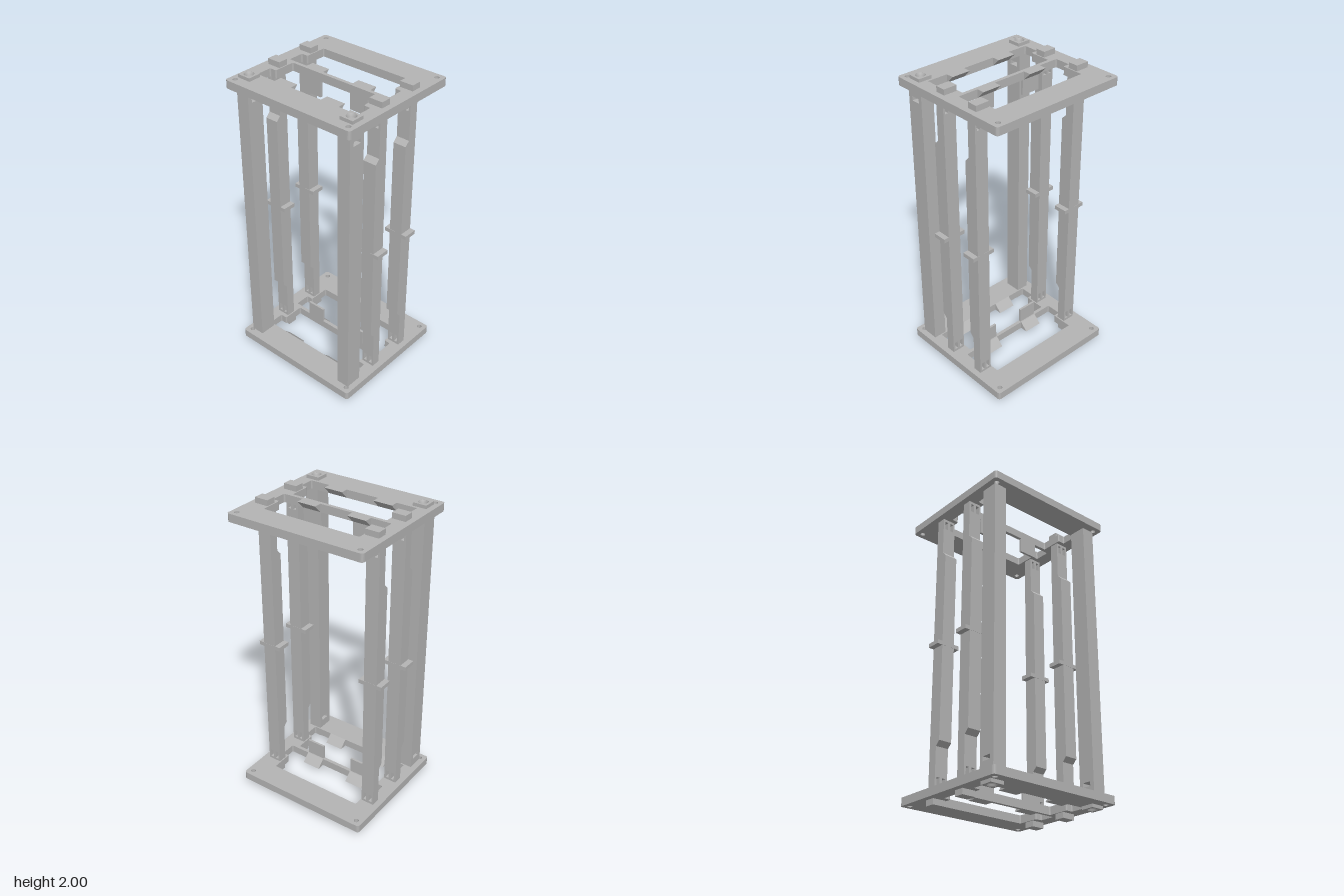
import * as THREE from 'three';

const grey = new THREE.MeshStandardMaterial({ color: 0xb4b4b4 });
grey.name = 'grey plastic';
const greyInside = grey.clone();
greyInside.side = THREE.DoubleSide;

const PLATE_IN = 1.912, PLATE_OUT = 1.964;

function add(parent, name, geometry, material = grey) {
  const mesh = new THREE.Mesh(geometry, material);
  mesh.name = name;
  parent.add(mesh);
  return mesh;
}

// Box given by its limits on each axis
function box(x0, x1, y0, y1, z0, z1) {
  return new THREE.BoxGeometry(x1 - x0, y1 - y0, z1 - z0)
    .translate((x0 + x1) / 2, (y0 + y1) / 2, (z0 + z1) / 2);
}

// Closed outline with rounded corners
function rounded(points, r, path) {
  const n = points.length;
  const p = points.map(([x, y]) => new THREE.Vector2(x, y));
  for (let i = 0; i < n; i++) {
    const c = p[i];
    const a = p[(i + n - 1) % n].clone().sub(c).setLength(r).add(c);
    const b = p[(i + 1) % n].clone().sub(c).setLength(r).add(c);
    if (i === 0) path.moveTo(a.x, a.y);
    else path.lineTo(a.x, a.y);
    path.quadraticCurveTo(c.x, c.y, b.x, b.y);
  }
  path.closePath();
  return path;
}

function rectangle(x0, x1, z0, z1) {
  return new THREE.Shape([[x0, z0], [x1, z0], [x1, z1], [x0, z1]].map(p => new THREE.Vector2(...p)));
}

function circle(x, z, r) {
  return new THREE.Path().absarc(x, z, r, 0, Math.PI * 2, true);
}

// Shape in (x, z) raised between two heights
function extrudeY(shape, y0, y1) {
  return new THREE.ExtrudeGeometry(shape, { depth: y1 - y0, bevelEnabled: false, curveSegments: 8 })
    .rotateX(Math.PI / 2).translate(0, y1, 0);
}

// Outline in (z, y) stretched between two x positions
function extrudeX(points, x0, x1) {
  const shape = new THREE.Shape(points.map(p => new THREE.Vector2(...p)));
  return new THREE.ExtrudeGeometry(shape, { depth: x1 - x0, bevelEnabled: false })
    .rotateY(-Math.PI / 2).translate(x1, 0, 0);
}

function endPlate(parent) {
  const X = 0.464, Z = 0.427;
  const shape = rounded([[-X, -Z], [X, -Z], [X, Z], [-X, Z]], 0.02, new THREE.Shape());
  // two stepped openings, separated by a thin crossbar
  for (const [z0, z1, z2] of [[-0.26, -0.117, -0.013], [0.01, 0.152, 0.255]]) {
    shape.holes.push(rounded([
      [-0.33, z0], [0.33, z0], [0.33, z1], [0.376, z1],
      [0.376, z2], [-0.376, z2], [-0.376, z1], [-0.33, z1],
    ], 0.01, new THREE.Path()));
  }
  for (const x of [-0.422, 0.422])
    for (const z of [-0.386, 0.386]) shape.holes.push(circle(x, z, 0.016));
  add(parent, 'endPlate', extrudeY(shape, PLATE_IN, PLATE_OUT));

  // sloped lips on the openings and upright stops on the crossbar
  for (const x0 of [-0.24, 0.112]) {
    const x1 = x0 + 0.128;
    for (const z of [-0.013, 0.255]) {
      add(parent, 'slopedLip', extrudeX(
        [[z, PLATE_IN], [z, PLATE_OUT], [z - 0.052, PLATE_OUT]], x0, x1));
    }
    add(parent, 'crossbarStop', box(x0, x1, 1.81, PLATE_IN, -0.005, 0.01));
  }
}

function frontPost(parent, cx) {
  const post = new THREE.Group();
  post.name = 'frontPost';
  post.position.x = cx;
  parent.add(post);
  const w = 0.044, z0 = 0.263, z1 = 0.376, zc = 0.315;
  const slot0 = 1.828, slot1 = 1.856, top = 1.985;
  add(post, 'postShaft', box(-w, w, 1, slot0, z0, z1));
  // nut slot open on one side
  const u = new THREE.Shape([
    [-w, z0], [w, z0], [w, 0.287], [-0.03, 0.287],
    [-0.03, 0.347], [w, 0.347], [w, z1], [-w, z1],
  ].map(p => new THREE.Vector2(...p)));
  add(post, 'nutSlot', extrudeY(u, slot0, slot1));
  // post head and peg with a countersunk screw hole
  const head = rectangle(-w, w, z0, z1);
  head.holes.push(circle(0, zc, 0.016));
  add(post, 'postHead', extrudeY(head, slot1, PLATE_IN));
  const peg = rectangle(-0.045, 0.045, 0.272, 0.358);
  peg.holes.push(circle(0, zc, 0.031));
  add(post, 'postPeg', extrudeY(peg, PLATE_IN, top));
  const bore = [[0.016, slot1], [0.016, top - 0.035], [0.031, top]].map(p => new THREE.Vector2(...p));
  add(post, 'screwHole', new THREE.LatheGeometry(bore, 32).translate(0, 0, zc), greyInside);
}

function rail(parent, cx, zBack) {
  const post = new THREE.Group();
  post.name = 'guideRail';
  post.position.set(cx, 0, zBack);
  parent.add(post);
  const w = 0.044, wide = 0.089, narrow = 0.06, s0 = 1.84, s1 = 1.895;
  add(post, 'railShaft', extrudeX(
    [[0, 1], [wide, 1], [wide, 1.625], [narrow, 1.655], [narrow, s0], [0, s0]], -w, w));
  // clip slots near the end
  for (const [a, b] of [[-w, -0.031], [-0.009, 0.009], [0.031, w]])
    add(post, 'clipLeg', box(a, b, s0, s1, 0, narrow));
  add(post, 'railHead', box(-w, w, s1, PLATE_IN, 0, narrow));
  add(post, 'railHook', box(-0.045, 0.045, PLATE_IN, 2, -0.015, 0.051));
}

export function createModel() {
  const model = new THREE.Group();
  model.name = 'rackFrame';

  // upper half, repeated upside down for the lower half
  const upper = new THREE.Group();
  upper.name = 'upperHalf';
  endPlate(upper);
  for (const x of [-0.382, 0.382]) {
    frontPost(upper, x);
    for (const z of [0.065, -0.204]) rail(upper, x, z);
  }
  const lower = upper.clone();
  lower.name = 'lowerHalf';
  lower.rotation.z = Math.PI;
  lower.position.y = 2;
  model.add(upper, lower);

  // small wings halfway up the rails
  for (const x of [-0.382, 0.382])
    for (const z of [0.064, -0.205])
      add(model, 'railWing', box(x - 0.08, x + 0.08, 0.987, 1.013, z, z + 0.091));

  return model;
}
